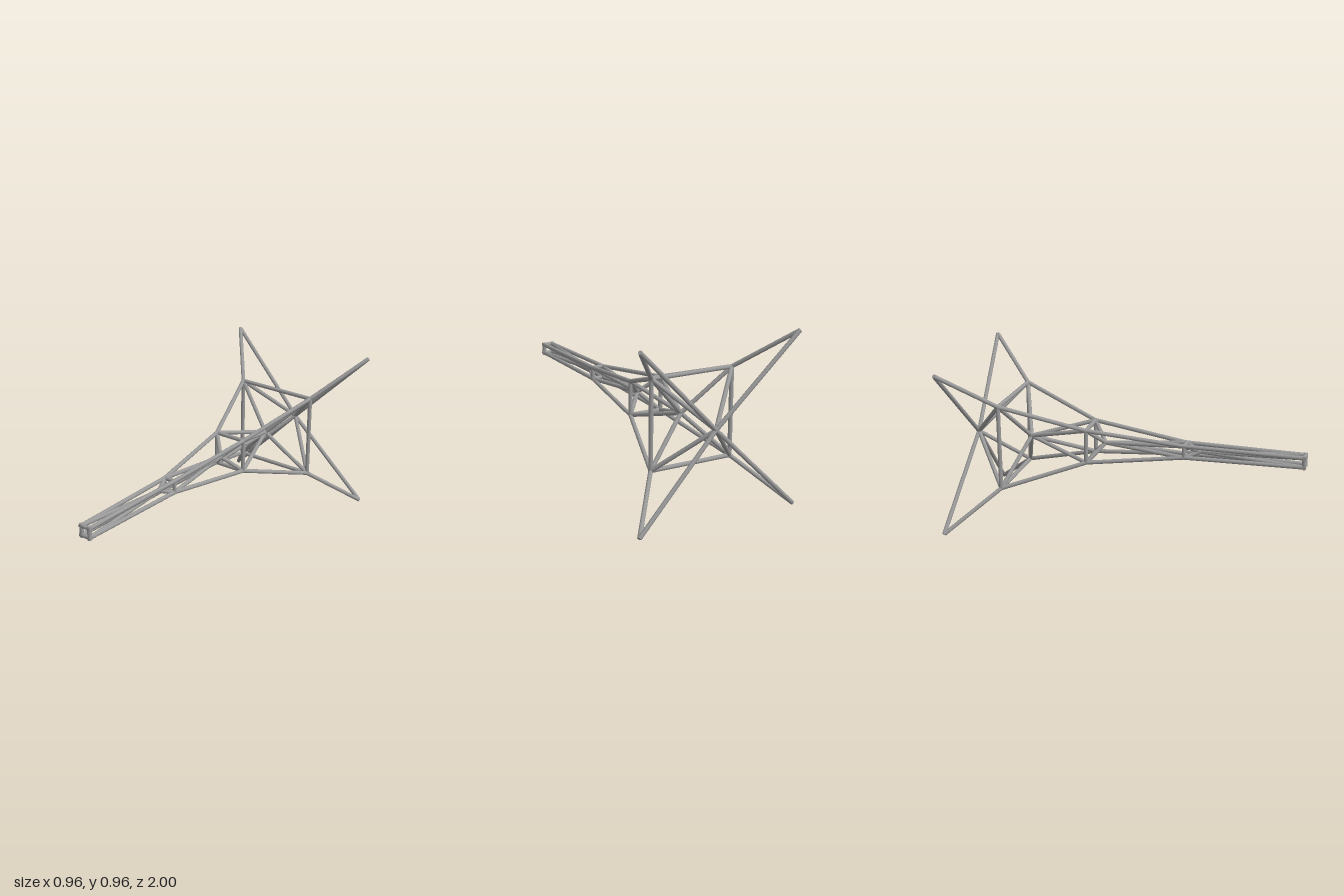
import * as THREE from 'three';

const RADIUS = 0.012;
const CENTRE_Y = 0.48;

export function createModel() {
  const group = new THREE.Group();
  const steel = new THREE.MeshStandardMaterial({ color: 0x999999 });
  steel.name = 'grey steel';

  // Round strut between two points, optionally lengthened at both ends
  function strut(name, a, b, extra = 0) {
    const dir = b.clone().sub(a);
    const length = dir.length();
    const mesh = new THREE.Mesh(
      new THREE.CylinderGeometry(RADIUS, RADIUS, length + 2 * extra, 12), steel);
    mesh.name = name;
    mesh.position.copy(a).add(b).multiplyScalar(0.5);
    mesh.quaternion.setFromUnitVectors(new THREE.Vector3(0, 1, 0), dir.divideScalar(length));
    group.add(mesh);
  }

  const square = (half, z) => [[1, 1], [-1, 1], [-1, -1], [1, -1]]
    .map(([sx, sy]) => new THREE.Vector3(sx * half, CENTRE_Y + sy * half, z));

  // Square stations from the rear tips to the slim front end
  const stations = [[0.472, -0.992], [0.247, -0.72], [0.097, -0.25], [0.034, 0.31], [0.027, 0.988]]
    .map(([half, z]) => square(half, z));
  // Central node between each pair of stations
  const hubs = [-0.947, -0.615, -0.16, 0.4].map((z) => new THREE.Vector3(0, CENTRE_Y, z));

  // Square frames (the rear tips stay open)
  stations.slice(1).forEach((corners, s) => {
    const extra = s === 3 ? RADIUS : RADIUS * 0.5;
    corners.forEach((c, i) => strut('squareFrame', c, corners[(i + 1) % 4], extra));
  });

  // Corner rails and the braces meeting at each central node
  hubs.forEach((hub, s) => {
    for (let i = 0; i < 4; i++) {
      strut('cornerRail', stations[s][i], stations[s + 1][i]);
      strut('rearBrace', stations[s][i], hub);
      strut('frontBrace', hub, stations[s + 1][i]);
    }
  });

  return group;
}
